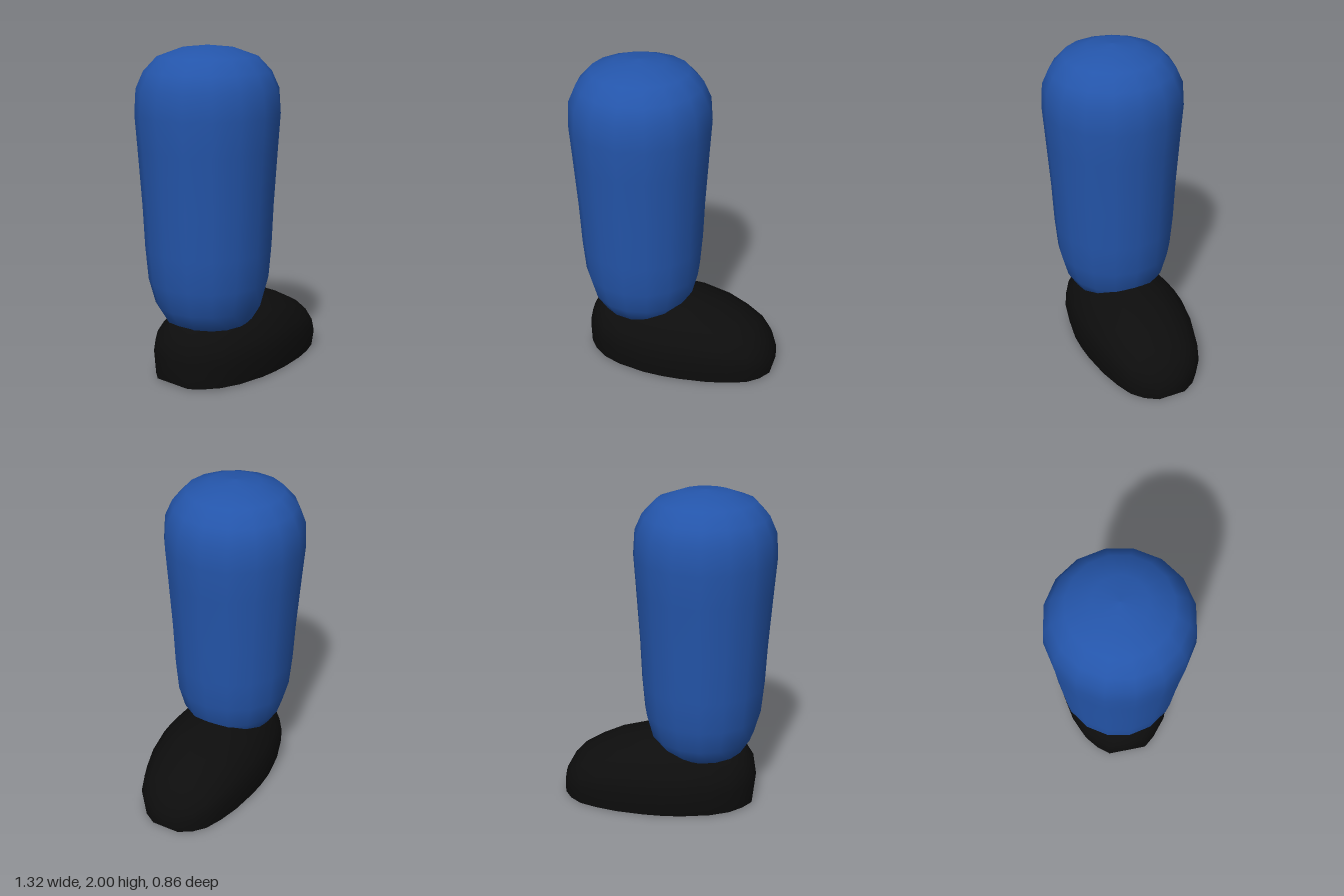
import * as THREE from 'three';
import { toCreasedNormals } from 'three/addons/utils/BufferGeometryUtils.js';

const BLUE = 0x2455aa;
const BLACK = 0x0d0d0d;

// Rounded trouser leg, tucked into the shoe at its lower end
function makeLeg() {
  const profile = [
    [0, 0.26], [0.16, 0.28], [0.265, 0.35], [0.325, 0.45], [0.365, 0.6],
    [0.382, 0.8], [0.393, 1.05], [0.416, 1.4], [0.43, 1.6], [0.42, 1.75],
    [0.375, 1.85], [0.295, 1.935], [0.155, 1.985], [0, 2],
  ].map(([r, y]) => new THREE.Vector2(r, y));
  const leg = new THREE.Mesh(
    new THREE.LatheGeometry(profile, 16),
    new THREE.MeshStandardMaterial({ color: BLUE }),
  );
  leg.name = 'leg';
  leg.position.x = -0.23;
  return leg;
}

// Shoe: elliptical dome sections from heel to toe with a flat sole
function makeShoe() {
  // x, half width, top height, height of the widest line
  const stations = [
    [-0.58, 0, 0.155, 0.155],
    [-0.558, 0.135, 0.275, 0.155],
    [-0.5, 0.212, 0.36, 0.155],
    [-0.42, 0.28, 0.4, 0.15],
    [-0.3, 0.33, 0.43, 0.15],
    [-0.12, 0.362, 0.455, 0.15],
    [0, 0.365, 0.46, 0.15],
    [0.11, 0.358, 0.458, 0.15],
    [0.29, 0.33, 0.415, 0.148],
    [0.42, 0.292, 0.36, 0.135],
    [0.53, 0.245, 0.3, 0.11],
    [0.6, 0.18, 0.23, 0.085],
    [0.648, 0.095, 0.14, 0.06],
    [0.66, 0, 0.05, 0.05],
  ];
  const arc = 8;
  const ring = arc + 3; // arc points plus one sole corner on each side
  const positions = [];
  for (const [x, w, top, mid] of stations) {
    const sole = w === 0 ? mid : 0.008 - 0.008 * x;
    positions.push(x, sole, 0.93 * w);
    for (let j = 0; j <= arc; j++) {
      const a = (j / arc) * Math.PI;
      positions.push(x, mid + (top - mid) * Math.sin(a), w * Math.cos(a));
    }
    positions.push(x, sole, -0.93 * w);
  }
  const index = [];
  const last = stations.length - 2;
  for (let i = 0; i <= last; i++) {
    for (let j = 0; j < ring; j++) {
      const k = (j + 1) % ring;
      const a = i * ring + j, b = a + ring;
      const c = i * ring + k, d = c + ring;
      if (i > 0) index.push(a, b, c); // heel tip is a single point
      if (i < last) index.push(b, d, c); // toe tip is a single point
    }
  }
  const geometry = new THREE.BufferGeometry();
  geometry.setAttribute('position', new THREE.Float32BufferAttribute(positions, 3));
  geometry.setIndex(index);
  const shoe = new THREE.Mesh(
    toCreasedNormals(geometry, 0.95),
    new THREE.MeshStandardMaterial({ color: BLACK }),
  );
  shoe.name = 'shoe';
  return shoe;
}

export function createModel() {
  const model = new THREE.Group();
  model.name = 'legWithShoe';
  model.add(makeLeg(), makeShoe());
  return model;
}
